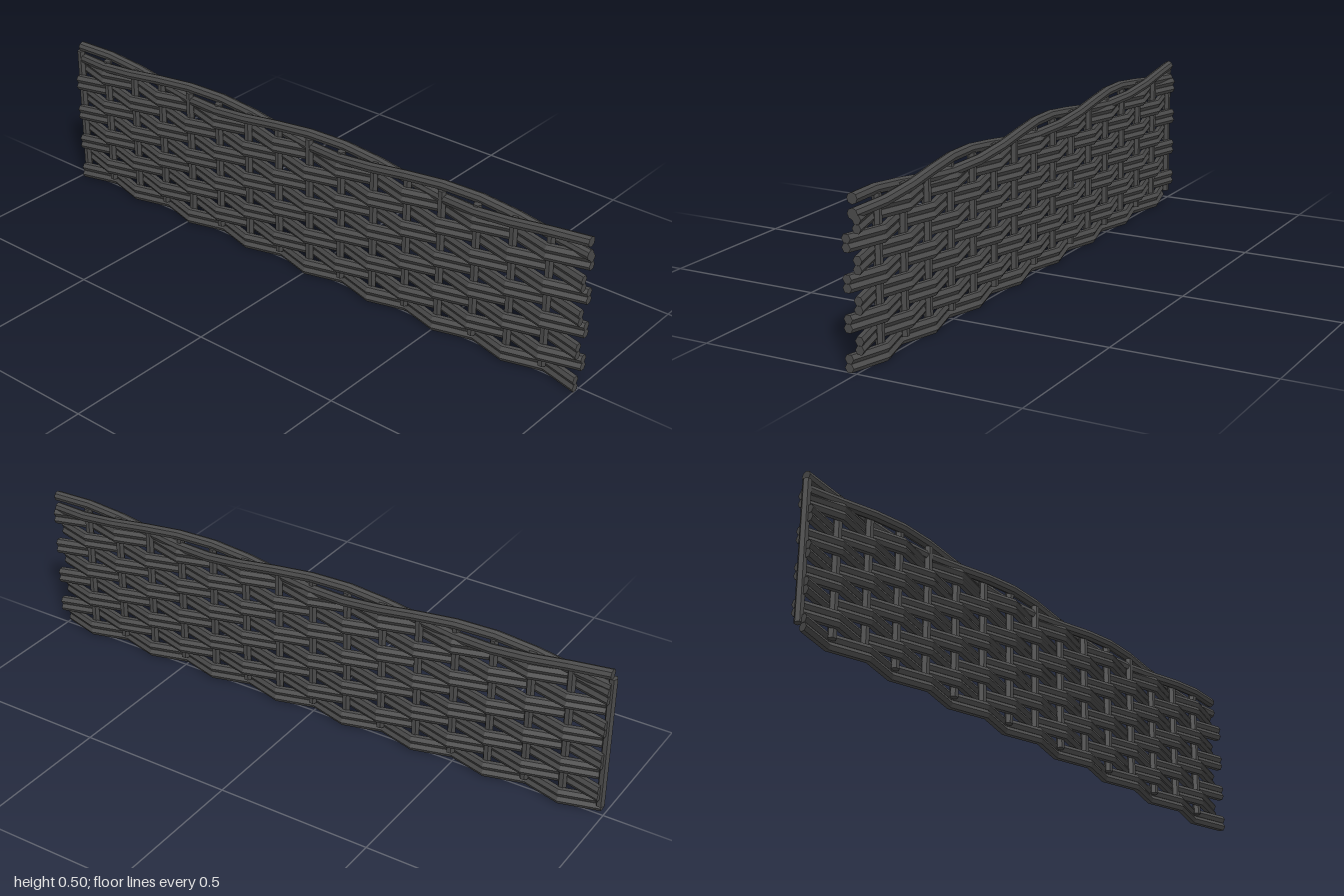
import * as THREE from 'three';

const SPANS = 16;                 // spaces between stakes
const STEP = 1.986 / SPANS;
const WEAVE_X = -0.0055;          // centre plane of stakes and weave

// Faceted rod whose cross-sections all lie in planes of constant z; path runs towards -z
function rod(path, radius, sides) {
  const pos = [];
  const pt = (j, s) => {
    const a = (s / sides) * Math.PI * 2;
    const c = path[j];
    return [c.x + radius * Math.cos(a), c.y + radius * Math.sin(a), c.z];
  };
  const last = path.length - 1;
  for (let s = 0; s < sides; s++) {
    for (let j = 0; j < last; j++) {
      const a = pt(j, s), b = pt(j, s + 1), c = pt(j + 1, s), d = pt(j + 1, s + 1);
      pos.push(...a, ...c, ...b, ...b, ...c, ...d);
    }
    // end caps
    pos.push(...path[0].toArray(), ...pt(0, s), ...pt(0, s + 1));
    pos.push(...path[last].toArray(), ...pt(last, s + 1), ...pt(last, s));
  }
  const g = new THREE.BufferGeometry();
  g.setAttribute('position', new THREE.Float32BufferAttribute(pos, 3));
  g.computeVertexNormals();
  return g;
}

// One path point for every stake, plus the free front end
function pathFrom(fn) {
  return Array.from({ length: SPANS + 1 }, (_, n) => {
    const [x, y] = fn(n);
    return new THREE.Vector3(x, y, 1 - n * STEP);
  });
}

export function createModel() {
  const group = new THREE.Group();
  group.name = 'wovenFence';
  const wicker = new THREE.MeshStandardMaterial({ color: 0x4a4a4a });
  wicker.name = 'dark wicker';

  const add = (name, geometry) => {
    const mesh = new THREE.Mesh(geometry, wicker);
    mesh.name = name;
    group.add(mesh);
    return mesh;
  };

  // Upright stakes
  const stakeGeo = new THREE.CylinderGeometry(0.0135, 0.0135, 0.44, 6).toNonIndexed();
  stakeGeo.computeVertexNormals();
  for (let n = 1; n <= SPANS; n++) {
    add('stake', stakeGeo).position.set(WEAVE_X, 0.25, 1 - n * STEP);
  }

  // Eight pairs of rods zigzagging between the stakes, each pair opposite the next
  for (let k = 0; k < 8; k++) {
    for (const side of [-1, 1]) {
      const y = 0.0265 + k * 0.0556 + side * 0.0128;
      const path = pathFrom((n) => [WEAVE_X + ((n + k) % 2 ? 0.0172 : -0.0172), y]);
      add('weaveRod', rod(path, 0.0143, 6));
    }
  }

  // Two rods twisted together along the top edge
  for (let i = 0; i < 2; i++) {
    const path = pathFrom((n) => {
      const a = Math.PI / 2 + i * Math.PI + (n / 8) * Math.PI * 2;
      return [0.021 * Math.cos(a), 0.4635 + 0.021 * Math.sin(a)];
    });
    add('topTwist', rod(path, 0.0165, 8));
  }

  return group;
}
